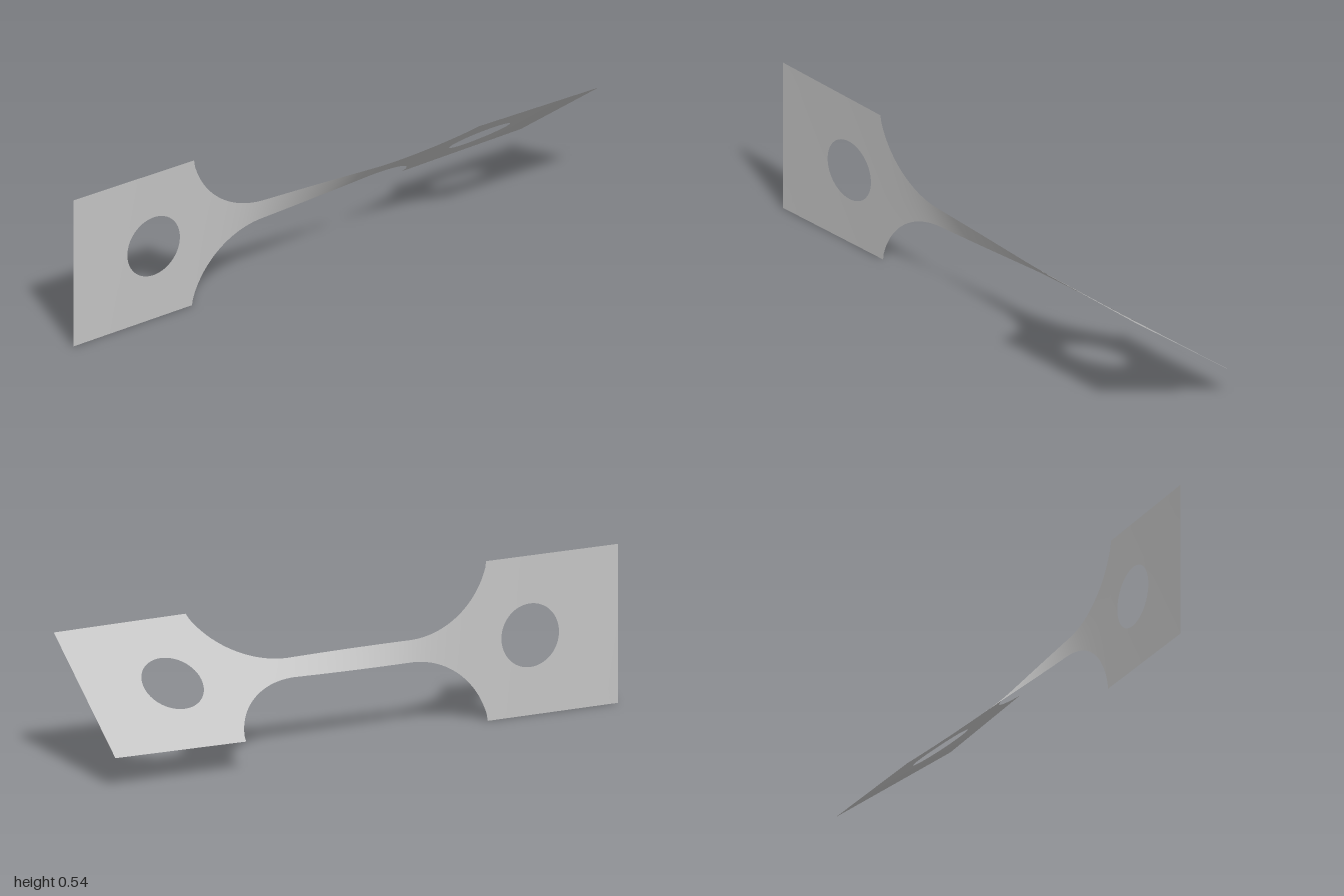
import * as THREE from 'three';

const HALF = 0.271;       // half height of the end plates
const NECK = 0.037;       // half height of the neck
const PLATE_X = 0.508;    // inner edge of the end plates
const FILLET_X = 0.22;    // where the fillets run out into the neck
const FILLET_R = 0.297;
const HOLE_X = 0.67;
const HOLE_R = 0.108;
const TWIST = THREE.MathUtils.degToRad(52.4);
const ROWS = 24;

// Half height of the flat outline along x
function halfHeight(x) {
  const a = Math.abs(x);
  if (a >= PLATE_X - 1e-6) return HALF;
  const d = Math.max(0, a - FILLET_X);
  return NECK + FILLET_R - Math.sqrt(FILLET_R ** 2 - d ** 2);
}

// Twist angle accumulated along x: the narrow neck turns most
const STEPS = 800;
const turn = [0];
for (let i = 0; i < STEPS; i++) {
  const x = -1 + (2 * (i + 0.5)) / STEPS;
  turn.push(turn[i] + halfHeight(x) ** -1.7);
}
function twistAt(x) {
  const t = THREE.MathUtils.clamp((x + 1) / 2, 0, 1) * STEPS;
  const i = Math.min(STEPS - 1, Math.floor(t));
  return (TWIST * THREE.MathUtils.lerp(turn[i], turn[i + 1], t - i)) / turn[STEPS];
}

// Grid of flat points (x, v), twisted about the long axis
function twistedSheet(cols, rows, pointAt) {
  const positions = [], index = [];
  for (let i = 0; i <= cols; i++) {
    for (let j = 0; j <= rows; j++) {
      const [x, v] = pointAt(i, j);
      const a = twistAt(x);
      positions.push(x, HALF + v * Math.cos(a), v * Math.sin(a));
    }
  }
  for (let i = 0; i < cols; i++) {
    for (let j = 0; j < rows; j++) {
      const a = i * (rows + 1) + j, b = a + rows + 1;
      index.push(a, b, b + 1, a, b + 1, a + 1);
    }
  }
  const geometry = new THREE.BufferGeometry();
  geometry.setAttribute('position', new THREE.Float32BufferAttribute(positions, 3));
  geometry.setIndex(index);
  geometry.computeVertexNormals();
  return geometry;
}

// End plate: rings blending from the round hole out to the rectangle
function endPlate(side) {
  const cx = side * HOLE_X;
  const x0 = side < 0 ? -1 : PLATE_X;
  const x1 = side < 0 ? -PLATE_X : 1;
  const corners = [[x0, -HALF], [x1, -HALF], [x1, HALF], [x0, HALF]];
  const rings = 8;
  return twistedSheet(rings, 4 * ROWS, (i, j) => {
    const edge = Math.floor(j / ROWS) % 4, t = (j % ROWS) / ROWS;
    const p = corners[edge], q = corners[(edge + 1) % 4];
    const ox = p[0] + (q[0] - p[0]) * t, ov = p[1] + (q[1] - p[1]) * t;
    const r = HOLE_R / Math.hypot(ox - cx, ov);
    const s = r + (1 - r) * (i / rings);
    return [cx + (ox - cx) * s, ov * s];
  });
}

export function createModel() {
  const group = new THREE.Group();
  const steel = new THREE.MeshStandardMaterial({ color: 0xc4c4c4, side: THREE.DoubleSide });
  steel.name = 'light grey metal';

  const add = (name, geometry) => {
    const mesh = new THREE.Mesh(geometry, steel);
    mesh.name = name;
    group.add(mesh);
  };

  add('rightEndPlate', endPlate(-1));
  add('leftEndPlate', endPlate(1));

  // Neck with its four fillets, columns packed closer towards the plates
  const cols = 120;
  add('twistedNeck', twistedSheet(cols, ROWS, (i, j) => {
    const u = (2 * i) / cols - 1;
    const x = PLATE_X * (0.4 * u + 0.6 * Math.sin((u * Math.PI) / 2));
    return [x, halfHeight(x) * ((2 * j) / ROWS - 1)];
  }));

  return group;
}
